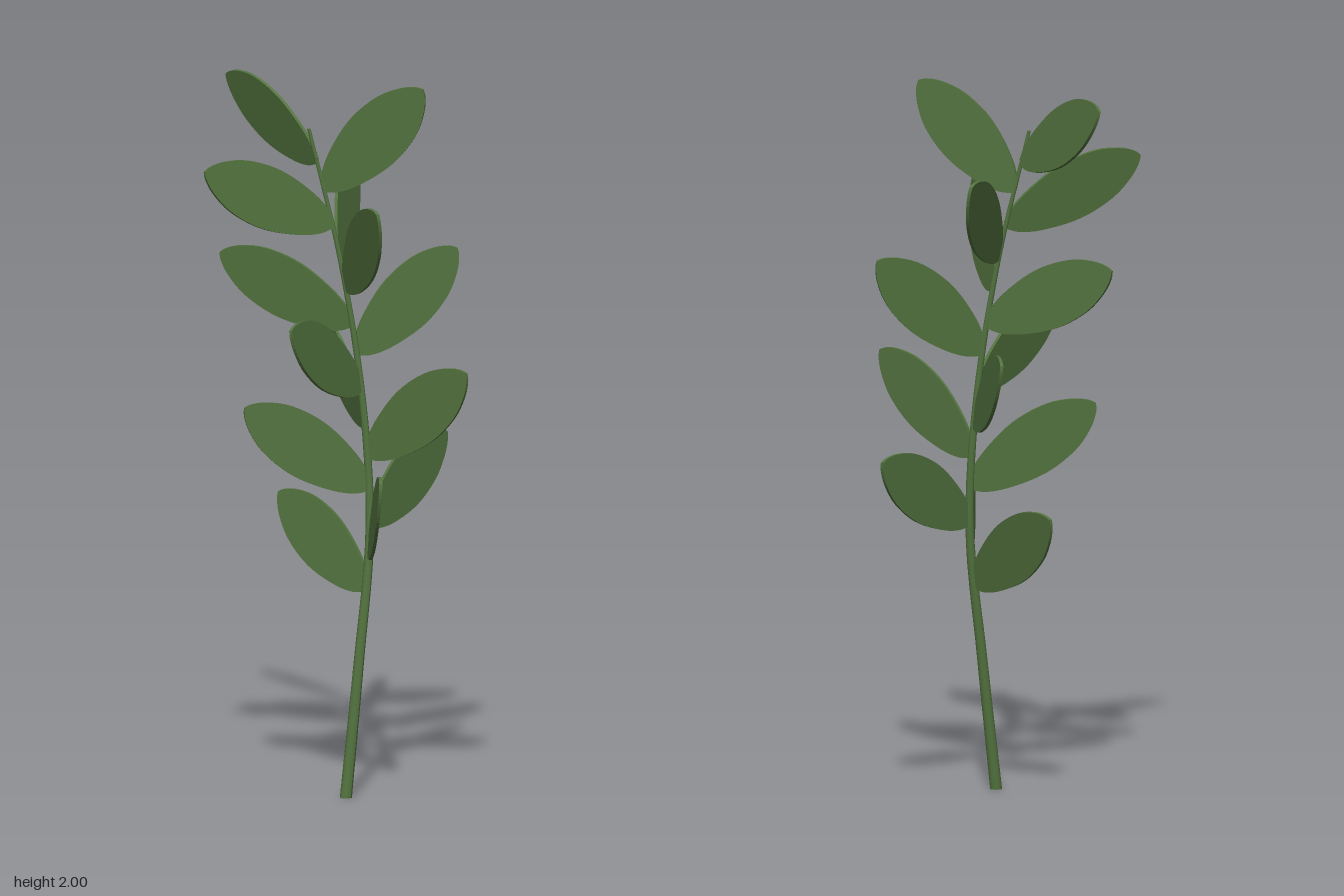
import * as THREE from 'three';

const HEIGHT = 1.87;
const V = (x, y, z) => new THREE.Vector3(x, y, z);

// Centre line of the stem, evenly spaced in height
const spine = new THREE.CatmullRomCurve3([
  V(-0.068, 0, 0.087), V(-0.022, 0.374, 0.095), V(0.025, 0.748, 0.096),
  V(0.022, 1.122, 0.07), V(-0.012, 1.496, 0.022), V(-0.062, 1.87, -0.052),
], false, 'catmullrom');
const spineParam = y => THREE.MathUtils.clamp(y / HEIGHT, 0, 1);

// Each leaf: height on the stem, then tip x, y, z
const LEAVES = [
  [0.58, 0.045, 0.81, -0.25], [0.68, -0.213, 0.93, 0.335],
  [0.76, 0.382, 0.97, 0.075], [0.86, -0.23, 1.095, -0.145],
  [0.95, 0.068, 1.215, 0.41], [1.04, 0.213, 1.26, -0.23],
  [1.14, -0.335, 1.355, 0.11], [1.24, 0.29, 1.515, 0.19],
  [1.32, -0.12, 1.5, -0.325], [1.42, -0.185, 1.685, 0.3],
  [1.51, 0.27, 1.76, -0.165], [1.6, -0.385, 1.78, -0.16],
  [1.7, 0.083, 1.995, 0.24], [1.78, 0.01, 1.975, -0.41],
];

// Flat leaf blade: length along x, half widths along y
function leafGeometry(length, thickness = 0.009) {
  const upper = [[0, 0.01], [0.07, 0.036], [0.2, 0.061], [0.4, 0.082], [0.57, 0.086],
    [0.75, 0.074], [0.89, 0.047], [0.97, 0.02], [1, 0]]
    .map(([x, y]) => new THREE.Vector2(x * length, y));
  const edge = new THREE.SplineCurve(upper).getPoints(28);
  const lower = edge.slice(0, -1).reverse().map(p => new THREE.Vector2(p.x, -p.y));
  const geo = new THREE.ExtrudeGeometry(new THREE.Shape([...edge, ...lower]),
    { depth: thickness, bevelEnabled: false });
  return geo.translate(0, 0, -thickness / 2);
}

// Tapered cylinder bent along the spine
function stemGeometry() {
  const geo = new THREE.CylinderGeometry(0.005, 0.017, HEIGHT, 12, 32).translate(0, HEIGHT / 2, 0);
  const pos = geo.attributes.position;
  for (let i = 0; i < pos.count; i++) {
    const p = spine.getPoint(spineParam(pos.getY(i)));
    pos.setX(i, pos.getX(i) + p.x);
    pos.setZ(i, pos.getZ(i) + p.z);
  }
  geo.computeVertexNormals();
  return geo;
}

export function createModel() {
  const group = new THREE.Group();
  group.name = 'leafySprig';
  const green = new THREE.MeshStandardMaterial({ color: 0x53733f });
  green.name = 'leafGreen';

  const stem = new THREE.Mesh(stemGeometry(), green);
  stem.name = 'stem';
  group.add(stem);

  // Leaves lie in the plane of the stem direction and their own direction
  LEAVES.forEach(([y, ...tip], i) => {
    const t = spineParam(y);
    const base = spine.getPoint(t);
    const along = V(...tip).sub(base);
    const leaf = new THREE.Mesh(leafGeometry(along.length()), green);
    along.normalize();
    const normal = along.clone().cross(spine.getTangent(t)).normalize();
    const across = normal.clone().cross(along);
    leaf.quaternion.setFromRotationMatrix(new THREE.Matrix4().makeBasis(along, across, normal));
    leaf.position.copy(base);
    leaf.name = `leaf${i + 1}`;
    group.add(leaf);
  });
  return group;
}
